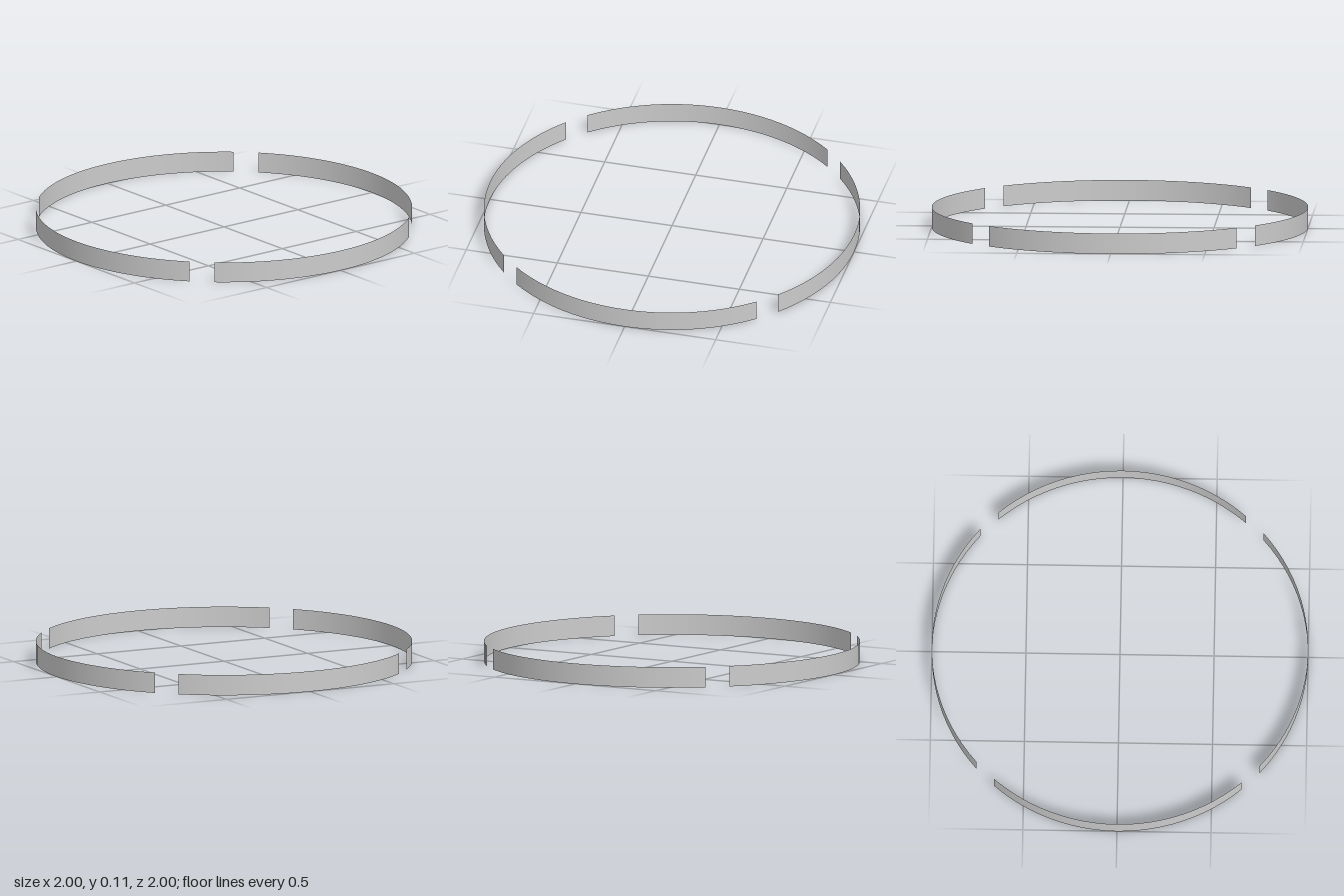
import * as THREE from 'three';

export function createModel() {
  const group = new THREE.Group();
  group.name = 'segmentedRing';
  const material = new THREE.MeshStandardMaterial({ color: 0xcccccc, side: THREE.DoubleSide });

  const radius = 1, height = 0.11;
  const span = THREE.MathUtils.degToRad(82.4);

  // Thin curved band, centred on the +z direction
  const band = new THREE.CylinderGeometry(radius, radius, height, 24, 1, true, -span / 2, span);
  band.translate(0, height / 2, 0);

  // Four equal bands with narrow gaps on the diagonals
  ['front', 'left', 'back', 'right'].forEach((side, i) => {
    const mesh = new THREE.Mesh(band, material);
    mesh.name = side + 'Band';
    mesh.rotation.y = i * Math.PI / 2;
    group.add(mesh);
  });
  return group;
}
